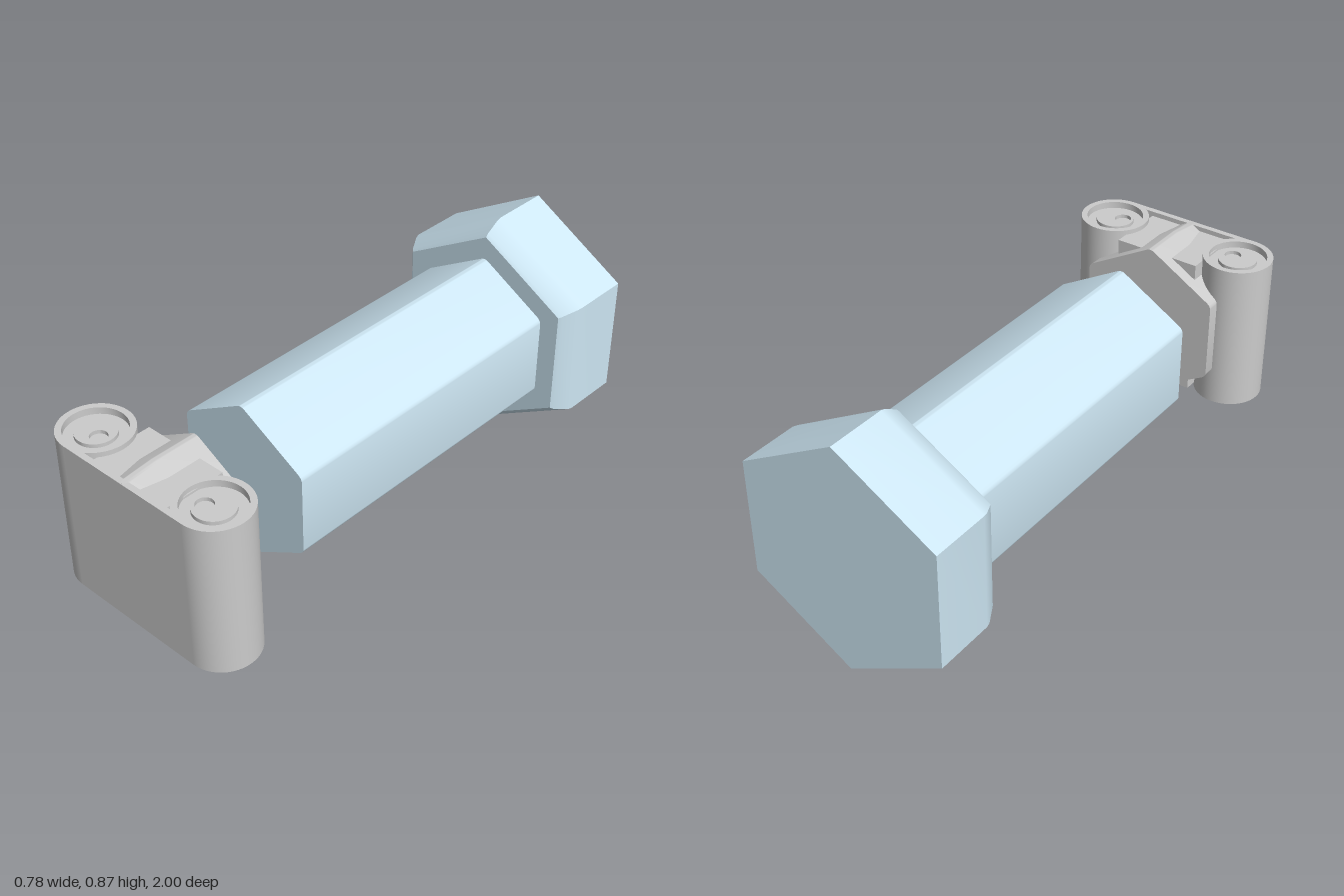
import * as THREE from 'three';
import { toCreasedNormals } from 'three/addons/utils/BufferGeometryUtils.js';

const CY = 0.437; // height of the bolt axis
const blue = new THREE.MeshStandardMaterial({ color: 0xcde6f3 });
const grey = new THREE.MeshStandardMaterial({ color: 0xcccccc });

function add(parent, name, geometry, material, x = 0, y = CY, z = 0) {
  const mesh = new THREE.Mesh(geometry, material);
  mesh.name = name;
  mesh.position.set(x, y, z);
  parent.add(mesh);
  return mesh;
}

// Hexagon outline with a corner at the top, corners rounded by radius r
function hexOutline(R, r) {
  const points = [];
  const steps = r > 0 ? 6 : 0;
  const d = R - r / Math.cos(Math.PI / 6);
  for (let i = 0; i < 6; i++) {
    const a = Math.PI / 2 + i * Math.PI / 3;
    for (let j = 0; j <= steps; j++) {
      const b = steps ? a + (j / steps - 0.5) * Math.PI / 3 : a;
      points.push([d * Math.cos(a) + r * Math.cos(b), d * Math.sin(a) + r * Math.sin(b)]);
    }
  }
  return points;
}

// Solid through scaled copies of an outline: sections are [scale, z], z rising
function loft(outline, sections) {
  const n = outline.length;
  const pos = [], index = [];
  for (const [s, z] of sections) for (const [x, y] of outline) pos.push(x * s, y * s, z);
  const last = (sections.length - 1) * n;
  const c0 = pos.length / 3, c1 = c0 + 1;
  pos.push(0, 0, sections[0][1], 0, 0, sections.at(-1)[1]);
  for (let i = 0; i < n; i++) {
    const j = (i + 1) % n;
    for (let k = 0; k < last; k += n) index.push(k + i, k + j, k + n + j, k + i, k + n + j, k + n + i);
    index.push(c0, j, i, c1, last + i, last + j);
  }
  const g = new THREE.BufferGeometry();
  g.setAttribute('position', new THREE.Float32BufferAttribute(pos, 3));
  g.setIndex(index);
  return toCreasedNormals(g, 0.7);
}

// Round barrel with a sunken cup at both ends
function barrelGeometry(radius, h) {
  const cup = 0.105, depth = 0.025;
  const profile = [
    [0, depth - h], [cup, depth - h], [cup, -h], [radius, -h],
    [radius, h], [cup, h], [cup, h - depth], [0, h - depth],
  ].map(([x, y]) => new THREE.Vector2(x, y));
  return toCreasedNormals(new THREE.LatheGeometry(profile, 48), 0.7);
}

// Disc with an off-centre hole, lying flat
function discGeometry() {
  const shape = new THREE.Shape().absarc(0, 0, 0.07, 0, Math.PI * 2);
  shape.holes.push(new THREE.Path().absarc(0.027, -0.012, 0.03, 0, Math.PI * 2, true));
  const g = new THREE.ExtrudeGeometry(shape, { depth: 0.014, bevelEnabled: false, curveSegments: 24 });
  return toCreasedNormals(g.rotateX(-Math.PI / 2), 0.7);
}

export function createModel() {
  const model = new THREE.Group();
  model.name = 'splitHexBolt';
  const smallHex = hexOutline(0.3025, 0.03);

  // Bolt: chamfered head and hexagonal shaft
  const bolt = new THREE.Group();
  bolt.name = 'bolt';
  model.add(bolt);
  add(bolt, 'head', loft(hexOutline(0.435, 0),
    [[1, -1], [1, -0.78], [0.99, -0.763], [0.917, -0.71], [0.89, -0.7]]), blue);
  add(bolt, 'shaft', loft(smallHex, [[1, -0.7], [1, 0.51]]), blue);

  // Link: hexagonal plate whose ridge tapers towards the front
  const link = new THREE.Group();
  link.name = 'link';
  model.add(link);
  add(link, 'hexPlate', loft(smallHex, [[1, 0.7], [1, 0.87], [0.95, 0.996]]), grey);

  // Web between the barrels and the taller front wall
  add(link, 'web', new THREE.BoxGeometry(0.33, 0.53, 0.235), grey, 0, CY, 0.8625);
  add(link, 'frontWall', new THREE.BoxGeometry(0.53, 0.565, 0.022), grey, 0, CY, 0.989);

  // Two barrels with pin discs at both ends
  const barrel = barrelGeometry(0.127, 0.2825);
  const disc = discGeometry();
  for (const [side, x] of [['left', 0.265], ['right', -0.265]]) {
    add(link, side + 'Barrel', barrel, grey, x, CY, 0.873);
    for (const end of [1, -1]) {
      const pin = add(link, side + (end > 0 ? 'TopPin' : 'BottomPin'), disc, grey, x, CY + end * 0.257, 0.873);
      // the disc's hole shifts inwards and slightly to the front
      pin.rotation.z = end > 0 ? 0 : Math.PI;
      if (side === 'left') pin.rotation.y = end > 0 ? -2.3 : 2.3;
    }
  }
  return model;
}
